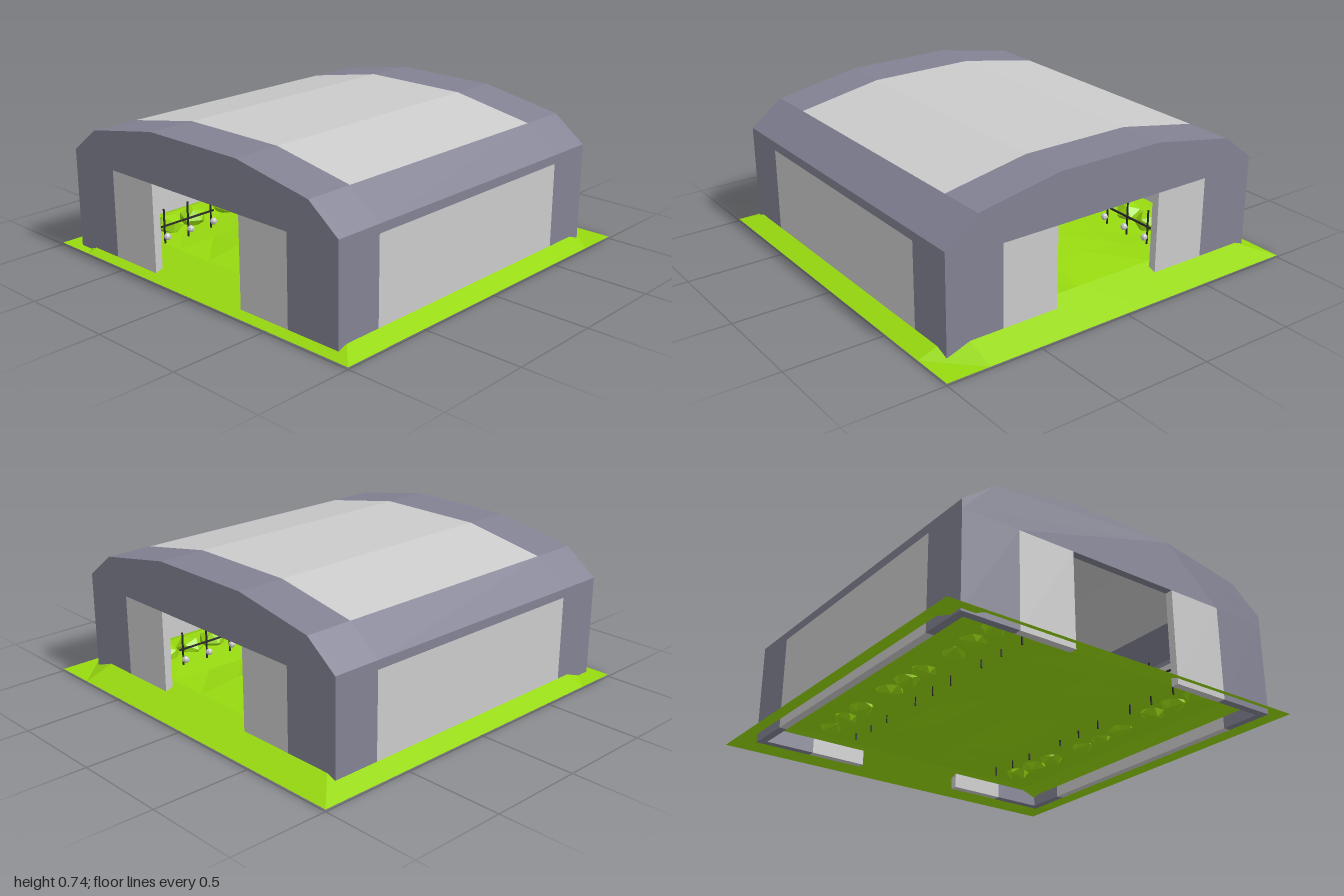
import * as THREE from 'three';

const X0 = -0.95, X1 = 0.85, T = 0.04, DOOR_H = 0.48;
const mat = (color) => new THREE.MeshStandardMaterial({ color, flatShading: true, side: THREE.DoubleSide });
const frameMat = mat(0x828294), panelMat = mat(0xcccccc), grassMat = mat(0x98da10), darkMat = mat(0x2a2a2a);

// Half of the arched section as [z, y], outside and inside
const OUT = [[0.9, 0], [0.9, DOOR_H], [0.9, 0.525], [0.73, 0.655], [0.29, 0.735]];
const INN = [[0.86, 0], [0.86, DOOR_H], [0.86, 0.505], [0.715, 0.617], [0.285, 0.695]];
const mirror = (pts) => pts.map(([z, y]) => [-z, y]).reverse();

function polygon(pts) {
  return new THREE.Shape(pts.map(([z, y]) => new THREE.Vector2(z, y)));
}

function mesh(group, name, geometry, material, x = 0, y = 0, z = 0) {
  const m = new THREE.Mesh(geometry, material);
  m.name = name;
  m.position.set(x, y, z);
  group.add(m);
  return m;
}

// A section in the z-y plane, extruded along x
function alongX(group, name, shape, material, xa, xb) {
  const geo = new THREE.ExtrudeGeometry(shape, { depth: xb - xa, bevelEnabled: false });
  geo.rotateY(Math.PI / 2);
  return mesh(group, name, geo, material, xa);
}

function createHall() {
  const hall = new THREE.Group();
  hall.name = 'hall';

  // Arched frame bands next to both ends
  const arch = polygon([...OUT, ...mirror(OUT), ...[...INN, ...mirror(INN)].reverse()]);
  alongX(hall, 'archBandRight', arch, frameMat, X0 + T, -0.7);
  alongX(hall, 'archBandLeft', arch, frameMat, 0.6, X1 - T);

  // Middle bay: wall panels, eaves and roof panel
  const part = (a, b) => [...OUT.slice(a, b), ...INN.slice(a, b).reverse()];
  for (const [side, flip] of [['back', (p) => p], ['front', mirror]]) {
    alongX(hall, side + 'WallPanel', polygon(flip(part(0, 2))), panelMat, -0.7, 0.6);
    alongX(hall, side + 'Eave', polygon(flip(part(1, 4))), frameMat, -0.7, 0.6);
  }
  const ro = OUT.slice(3), ri = INN.slice(3);
  alongX(hall, 'roofPanel', polygon([...ro, ...mirror(ro), ...[...ri, ...mirror(ri)].reverse()]), panelMat, -0.7, 0.6);

  // End walls with a doorway flanked by two panels
  const opening = [[-0.6, 0], [-0.6, DOOR_H], [0.6, DOOR_H], [0.6, 0]];
  const endWall = polygon([...OUT, ...mirror(OUT), ...opening]);
  for (const [side, x] of [['right', X0], ['left', X1 - T]]) {
    alongX(hall, side + 'EndWall', endWall, frameMat, x, x + T);
    for (const s of [-1, 1]) {
      mesh(hall, side + 'DoorPanel', new THREE.BoxGeometry(T, DOOR_H, 0.3), panelMat, x + T / 2, DOOR_H / 2, s * 0.45);
    }
  }
  return hall;
}

// Grass sheet: low rim, raised middle with a soft mound along the aisle
function createGround() {
  const geo = new THREE.PlaneGeometry(2, 2, 9, 9).rotateX(-Math.PI / 2);
  const p = geo.attributes.position;
  for (let i = 0; i < p.count; i++) {
    const x = p.getX(i), z = p.getZ(i);
    const rim = Math.max(Math.abs(x), Math.abs(z)) > 0.99;
    const inner = Math.max(Math.abs(x), Math.abs(z)) < 0.7;
    let y = rim ? 0.01 : 0.09;
    if (inner) y += Math.abs(z) < 0.2 ? 0.03 + 0.01 * Math.sin(x * 7) : 0.012 * Math.sin(x * 5 + z * 9);
    p.setY(i, y);
  }
  geo.computeVertexNormals();
  const ground = new THREE.Mesh(geo, grassMat);
  ground.name = 'ground';
  return ground;
}

// Two rows of bushes in groups of three, with watering posts along the aisle
function createPlanting() {
  const planting = new THREE.Group();
  planting.name = 'planting';
  const bushGeo = new THREE.IcosahedronGeometry(0.075, 0).scale(1, 0.8, 1);
  const postGeo = new THREE.CylinderGeometry(0.005, 0.005, 0.22, 6);
  const bulbGeo = new THREE.SphereGeometry(0.018, 8, 6);
  const railGeo = new THREE.BoxGeometry(0.34, 0.008, 0.008);
  for (const s of [-1, 1]) {
    for (const xc of [0.48, -0.08, -0.62]) {
      for (let i = -1; i <= 1; i++) {
        const x = xc + i * 0.15;
        const bush = mesh(planting, 'bush', bushGeo, grassMat, x, 0.11, s * 0.6);
        bush.rotation.y = x * 9 + s;
        mesh(planting, 'post', postGeo, darkMat, x, 0.16, s * 0.45);
        mesh(planting, 'bulb', bulbGeo, panelMat, x, 0.13, s * 0.43);
      }
      mesh(planting, 'rail', railGeo, darkMat, xc, 0.18, s * 0.45);
    }
  }
  return planting;
}

export function createModel() {
  const model = new THREE.Group();
  model.name = 'greenhouseHall';
  model.add(createHall(), createGround(), createPlanting());
  return model;
}
